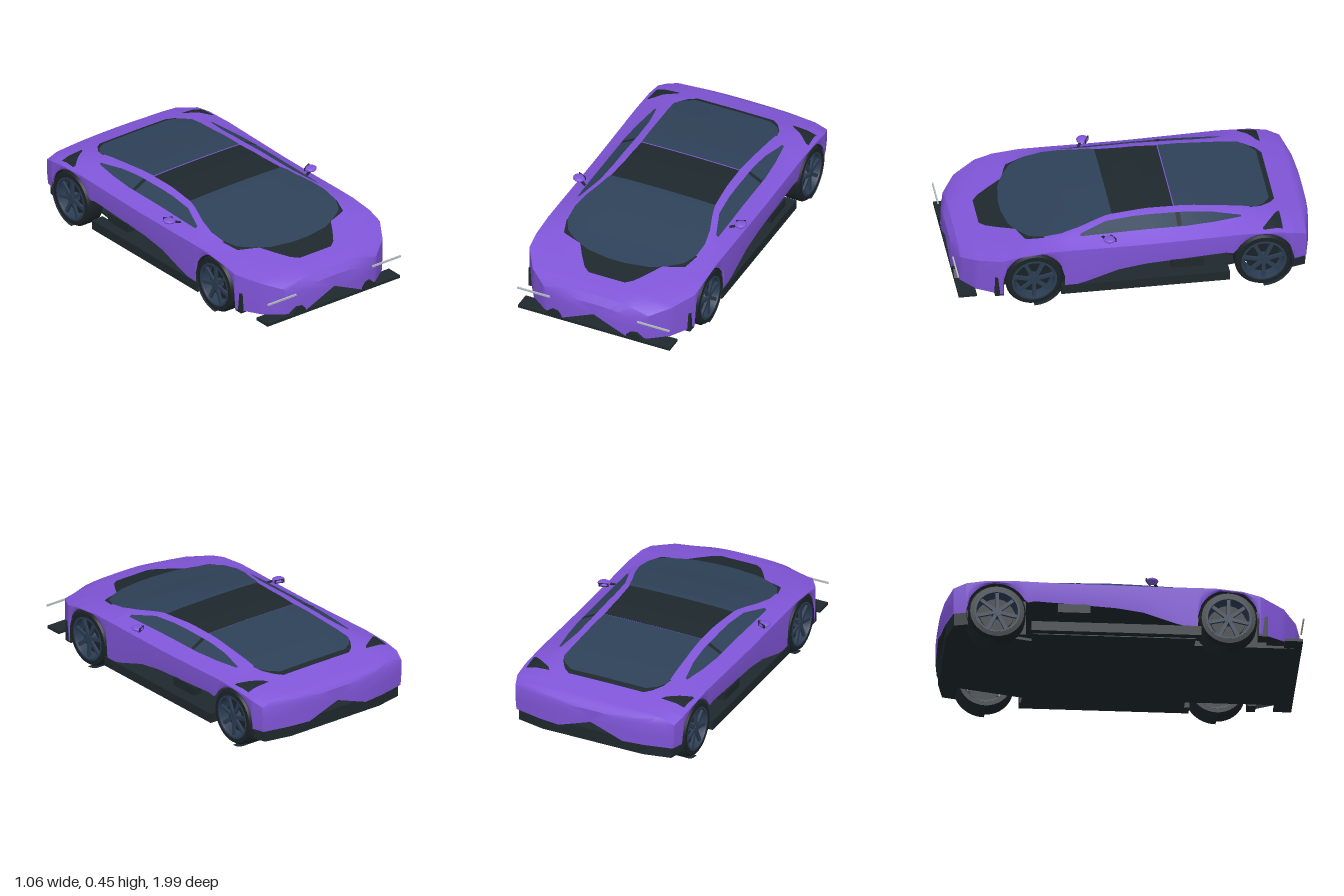
import * as THREE from 'three';
import { toCreasedNormals } from 'three/addons/utils/BufferGeometryUtils.js';

const mat = (name, color, side = THREE.FrontSide) => {
  const m = new THREE.MeshStandardMaterial({ color, side });
  m.name = name;
  return m;
};
const paint = mat('purple paint', 0x8055d8);
const glass = mat('tinted glass', 0x2e4158, THREE.DoubleSide);
const trim = mat('black trim', 0x1e282d, THREE.DoubleSide);
const rubber = mat('tyre rubber', 0x1a2227);
const alloy = mat('dark blue alloy', 0x2b3c52);
const lamp = mat('pale lamp', 0xb4bcc0);

// Body stations: z, roof edge x y, window base x y, shoulder x y, centre y
const STATIONS = [
  [0.985, 0.10, 0.222, 0.15, 0.215, 0.20, 0.200, 0.225],
  [0.955, 0.15, 0.262, 0.22, 0.255, 0.32, 0.225, 0.265],
  [0.88, 0.20, 0.285, 0.32, 0.280, 0.425, 0.265, 0.286],
  [0.75, 0.28, 0.311, 0.40, 0.310, 0.508, 0.297, 0.310],
  [0.65, 0.32, 0.330, 0.42, 0.328, 0.515, 0.322, 0.330],
  [0.50, 0.39, 0.360, 0.44, 0.346, 0.515, 0.337, 0.360],
  [0.35, 0.40, 0.385, 0.435, 0.365, 0.515, 0.337, 0.397],
  [0.15, 0.345, 0.420, 0.43, 0.372, 0.515, 0.335, 0.428],
  [-0.10, 0.335, 0.430, 0.43, 0.375, 0.515, 0.335, 0.435],
  [-0.35, 0.335, 0.422, 0.43, 0.375, 0.515, 0.340, 0.428],
  [-0.60, 0.345, 0.400, 0.40, 0.382, 0.515, 0.346, 0.403],
  [-0.78, 0.35, 0.373, 0.43, 0.366, 0.515, 0.340, 0.378],
  [-0.88, 0.33, 0.350, 0.44, 0.344, 0.512, 0.325, 0.353],
  [-0.95, 0.32, 0.332, 0.42, 0.325, 0.49, 0.300, 0.336],
  [-0.985, 0.22, 0.312, 0.28, 0.308, 0.33, 0.285, 0.316],
  [-1.00, 0.10, 0.293, 0.15, 0.287, 0.20, 0.272, 0.296],
];
// Lower edge of the side panels, before the wheel arches
const LOWER_EDGE = [[1, 0.07], [0.8, 0.075], [0.4, 0.09], [0.28, 0.12], [0.1, 0.18],
  [-0.05, 0.203], [-0.25, 0.215], [-0.5, 0.23], [-0.86, 0.15], [-1, 0.15]];
const AXLES = [0.57, -0.71];
const WHEEL_Y = 0.16, ARCH = 0.17;

// Linear lookup in a table sorted by falling first column
function sample(table, z) {
  if (z >= table[0][0]) return table[0];
  for (let i = 1; i < table.length; i++) {
    const a = table[i - 1], b = table[i];
    if (z >= b[0]) return a.map((v, k) => v + (b[k] - v) * (a[0] - z) / (a[0] - b[0]));
  }
  return table[table.length - 1];
}

// Upper half section from the centre line to the shoulder
function upper(z) {
  const [, xr, yr, xg, yg, w, ys, yc] = sample(STATIONS, z);
  return [[0, yc], [xr * 0.6, yc + (yr - yc) * 0.3], [xr, yr], [xg, yg], [w, ys]];
}
function topY(x, z) {
  const p = upper(z).map(([px, py]) => [-px, py]);
  return sample(p, -Math.abs(x))[1];
}
function lowerY(z) {
  let y = sample(LOWER_EDGE, z)[1];
  for (const a of AXLES) {
    const d = ARCH * ARCH - (z - a) ** 2;
    if (d >= 0) y = Math.max(y, WHEEL_Y + Math.sqrt(d));
  }
  return y;
}

// Surface through rows of points running front to back, left to right
function grid(rows, flip = false) {
  const n = rows[0].length, index = [];
  for (let i = 0; i < rows.length - 1; i++) {
    for (let j = 0; j < n - 1; j++) {
      const a = i * n + j, b = a + 1, c = a + n, d = c + 1;
      index.push(...(flip ? [a, c, b, b, c, d] : [a, b, c, b, d, c]));
    }
  }
  const g = new THREE.BufferGeometry();
  g.setAttribute('position', new THREE.Float32BufferAttribute(rows.flat(2), 3));
  g.setIndex(index);
  return toCreasedNormals(g, 0.5);
}

function bodyRows() {
  const zs = STATIONS.map(s => s[0]);
  for (let z = 0.96; z > -0.98; z -= 0.02) zs.push(z);
  for (const a of AXLES) for (const s of [-1, 1]) zs.push(a + s * ARCH * 0.999, a + s * (ARCH + 0.002));
  zs.sort((a, b) => b - a);
  const rows = zs.map(z => {
    const half = upper(z), [w, ys] = half[4];
    const low = Math.min(lowerY(z), ys - 0.01);
    half.push([w, ys + (low - ys) * 0.5], [w * 0.985, low]);
    const right = half.slice(1).reverse().map(([x, y]) => [-x, y, z]);
    return [...right, ...half.map(([x, y]) => [x, y, z])];
  });
  // Close nose and tail
  rows.unshift(rows[0].map(() => [0, 0.16, 0.99]));
  rows.push(rows[0].map(() => [0, 0.22, -1]));
  return rows;
}

// Thin panel lying on the body; outline rows are z, x from, x to
function panel(outline, lift = 0.004) {
  const zs = [], first = outline[0][0], last = outline[outline.length - 1][0];
  for (let i = 0; i <= 30; i++) zs.push(first + (last - first) * i / 30);
  return grid(zs.map(z => {
    const [, a, b] = sample(outline, z), row = [];
    for (let j = 0; j <= 20; j++) {
      const x = a + (b - a) * j / 20;
      row.push([x, topY(x, z) + lift, z]);
    }
    return row;
  }));
}
const centred = list => list.map(([z, h]) => [z, -h, h]);
const mirrored = (list, s) => list.map(([z, a, b]) => (s > 0 ? [z, a, b] : [z, -b, -a]));

export function createModel() {
  const car = new THREE.Group();
  car.name = 'sportsCar';
  const add = (name, geo, material, x = 0, y = 0, z = 0, parent = car) => {
    const m = new THREE.Mesh(geo, material);
    m.name = name;
    m.position.set(x, y, z);
    parent.add(m);
    return m;
  };
  const box = (name, material, w, h, d, x, y, z, parent) =>
    add(name, new THREE.BoxGeometry(w, h, d), material, x, y, z, parent);

  // Shell and its dark lining
  const rows = bodyRows();
  add('bodyShell', grid(rows), paint);
  add('bodyLining', grid(rows, true), trim);

  // Glass and dark panels along the centre
  add('cowlPanel', panel(centred([[0.82, 0.11], [0.79, 0.15], [0.72, 0.2], [0.64, 0.25], [0.6, 0.37], [0.5, 0.4]]), 0.003), trim);
  add('windscreen', panel(centred([[0.69, 0.05], [0.67, 0.19], [0.64, 0.26], [0.58, 0.355], [0.5, 0.395],
    [0.4, 0.4], [0.3, 0.38], [0.2, 0.345], [0.11, 0.32]]), 0.006), glass);
  add('roofPanel', panel(centred([[0.12, 0.32], [-0.05, 0.305], [-0.235, 0.3]])), trim);
  add('rearGlassSurround', panel(centred([[-0.66, 0.325], [-0.72, 0.31], [-0.78, 0.27], [-0.81, 0.23]]), 0.003), trim);
  add('rearGlass', panel(centred([[-0.24, 0.3], [-0.5, 0.312], [-0.69, 0.322], [-0.74, 0.29], [-0.78, 0.23]]), 0.006), glass);

  // Floor, bulkheads, splitter and rear bumper
  box('floor', trim, 0.94, 0.015, 0.9, 0, 0.055, -0.06);
  box('frontFloor', trim, 0.74, 0.015, 0.56, 0, 0.06, 0.66);
  box('frontBay', trim, 0.7, 0.22, 0.42, 0, 0.17, 0.58);
  box('rearBay', trim, 0.7, 0.2, 0.36, 0, 0.2, -0.72);
  box('rearFloor', trim, 0.74, 0.015, 0.44, 0, 0.085, -0.71).rotation.x = 0.13;
  box('splitter', trim, 0.93, 0.016, 0.1, 0, 0.063, 0.935);
  const bumper = new THREE.Shape([[-0.49, 0.87], [0.49, 0.87], [0.47, 0.945], [0.31, 0.978], [-0.31, 0.978], [-0.47, 0.945]]
    .map(p => new THREE.Vector2(...p)));
  const bumperGeo = new THREE.ExtrudeGeometry(bumper, { depth: 0.075, bevelEnabled: false }).rotateX(-Math.PI / 2);
  add('rearBumper', bumperGeo, trim, 0, 0.085, 0);

  for (const s of [1, -1]) {
    const side = s > 0 ? 'left' : 'right';
    // Side glass, pillar and rear deck vent
    add(side + 'SideWindow', panel(mirrored([[0.3, 0.418, 0.432], [0.15, 0.365, 0.432], [0, 0.353, 0.43],
      [-0.3, 0.35, 0.43], [-0.45, 0.358, 0.418], [-0.6, 0.385, 0.397]], s)), glass);
    add(side + 'Pillar', panel(mirrored([[-0.24, 0.352, 0.428], [-0.265, 0.352, 0.428]], s), 0.006), trim);
    add(side + 'DeckVent', panel(mirrored([[-0.71, 0.48, 0.495], [-0.76, 0.42, 0.49], [-0.8, 0.36, 0.488], [-0.82, 0.345, 0.488]], s)), trim);

    // Sill, side intake, lamp strip and nose intakes
    box(side + 'Sill', trim, 0.075, 0.055, 0.94, s * 0.475, 0.08, -0.05);
    box(side + 'SideIntake', trim, 0.05, 0.05, 0.18, s * 0.49, 0.19, -0.285);
    box(side + 'LampStrip', lamp, 0.198, 0.01, 0.008, s * 0.367, 0.192, 0.988);
    box(side + 'NoseCorner', trim, 0.08, 0.12, 0.05, s * 0.455, 0.125, 0.762);
    const fin = new THREE.Shape([[-0.055, 0], [0.055, 0], [0.02, 0.036], [-0.015, 0.036]].map(p => new THREE.Vector2(...p)));
    add(side + 'NoseIntake', new THREE.ExtrudeGeometry(fin, { depth: 0.05, bevelEnabled: false }), trim, s * 0.24, 0.072, 0.935);

    // Door mirror
    const mirror = new THREE.Group();
    mirror.name = side + 'Mirror';
    mirror.position.set(s * 0.492, 0.378, 0.15);
    mirror.rotation.set(0, s * 0.45, s * 0.04);
    car.add(mirror);
    add('mirrorHousing', new THREE.SphereGeometry(1, 14, 10).scale(0.036, 0.014, 0.034), paint, s * 0.004, 0, 0, mirror);
    box('mirrorFace', trim, 0.055, 0.02, 0.006, s * 0.006, 0, -0.024, mirror);
    box('mirrorArm', trim, 0.06, 0.007, 0.014, -s * 0.04, -0.008, 0.005, mirror).rotation.z = s * 0.2;

    // Wheels and arch liners
    AXLES.forEach((z, i) => {
      const liner = new THREE.CylinderGeometry(ARCH, ARCH, 0.15, 28, 1, true, 0, Math.PI)
        .rotateZ(Math.PI / 2).rotateX(-Math.PI / 2);
      liner.computeBoundingBox();
      if (liner.boundingBox.max.y < 0.1) liner.rotateX(Math.PI);
      add(side + (i ? 'RearLiner' : 'FrontLiner'), liner, trim, s * 0.434, WHEEL_Y, z);

      const wheel = new THREE.Group();
      wheel.name = side + (i ? 'RearWheel' : 'FrontWheel');
      wheel.position.set(s * 0.457, WHEEL_Y, z);
      wheel.rotation.z = -s * Math.PI / 2;
      car.add(wheel);
      const tyre = [[0.122, -0.056], [0.148, -0.056], [0.16, -0.044], [0.16, 0.04], [0.15, 0.055], [0.122, 0.057], [0.122, -0.056]];
      const rim = [[0.113, -0.052], [0.124, -0.057], [0.126, 0.058], [0.115, 0.058], [0.111, 0.045], [0.113, -0.052]];
      const lathe = p => toCreasedNormals(new THREE.LatheGeometry(p.map(q => new THREE.Vector2(...q)), 36), 0.5);
      add('tyre', lathe(tyre), rubber, 0, 0, 0, wheel);
      add('rim', lathe(rim), alloy, 0, 0, 0, wheel);
      add('brakeDisc', new THREE.CylinderGeometry(0.095, 0.095, 0.012, 28), rubber, 0, 0.005, 0, wheel);
      add('hub', new THREE.CylinderGeometry(0.025, 0.03, 0.05, 16), alloy, 0, 0.028, 0, wheel);
      for (let k = 0; k < 7; k++) {
        const spoke = new THREE.BoxGeometry(0.1, 0.014, 0.02).translate(0.066, 0.044, 0).rotateY(k * Math.PI * 2 / 7);
        add('spoke', spoke, alloy, 0, 0, 0, wheel);
      }
    });
  }
  return car;
}
